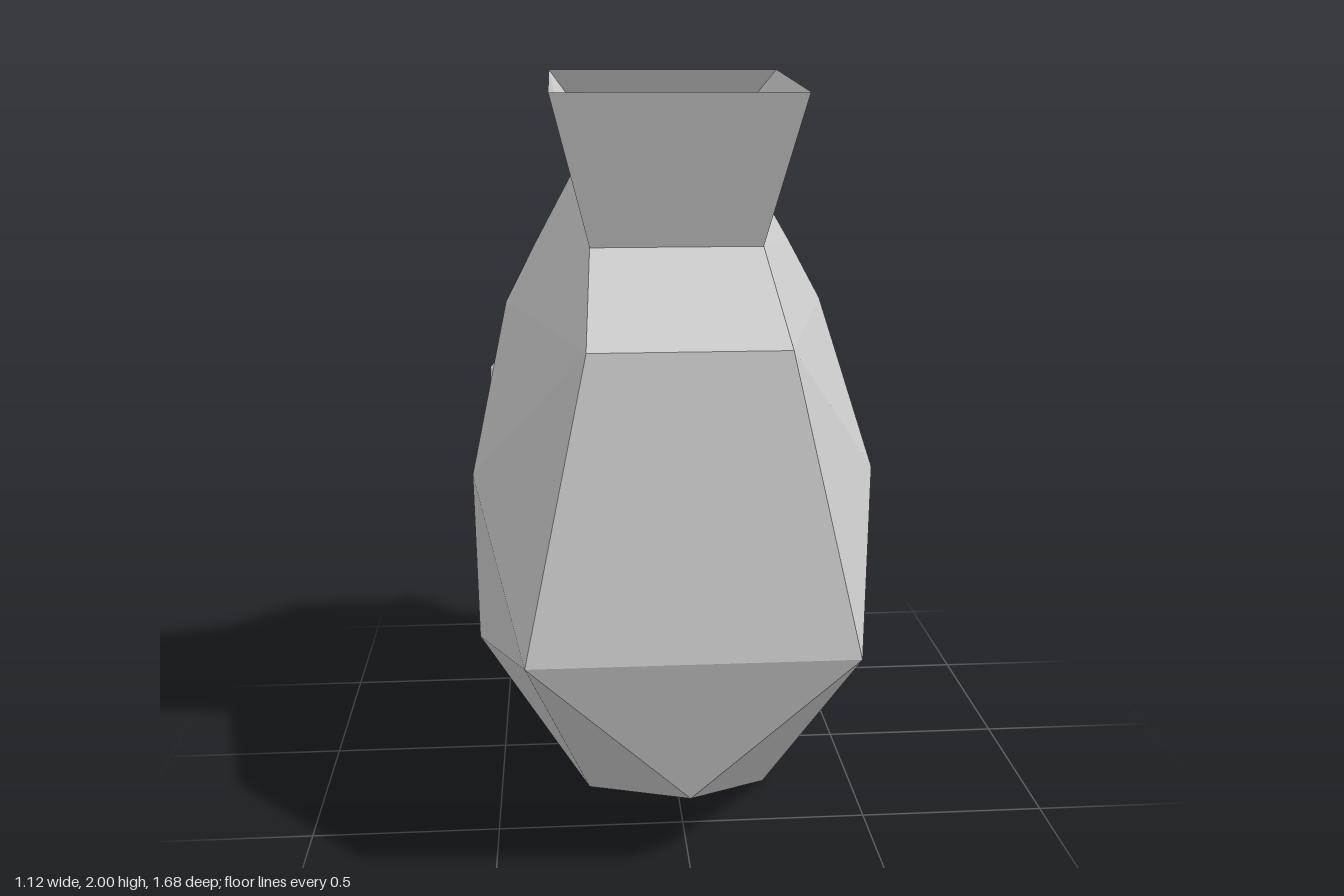
import * as THREE from 'three';
import { ConvexGeometry } from 'three/addons/geometries/ConvexGeometry.js';

const grey = new THREE.MeshStandardMaterial({ color: 0xcccccc, flatShading: true });
const greyOpen = new THREE.MeshStandardMaterial({ color: 0xcccccc, flatShading: true, side: THREE.DoubleSide });

// Faceted solid spanned by the given corners; mirrored across x = 0 unless told otherwise
function facetedSolid(name, corners, mirror = true) {
  const points = [];
  for (const [x, y, z] of corners) {
    points.push(new THREE.Vector3(x, y, z));
    if (mirror && x !== 0) points.push(new THREE.Vector3(-x, y, z));
  }
  const mesh = new THREE.Mesh(new ConvexGeometry(points), grey);
  mesh.name = name;
  return mesh;
}

// Open four-sided funnel between a bottom and a top loop of corners
function funnel(bottom, top) {
  const positions = [];
  for (let i = 0; i < 4; i++) {
    const j = (i + 1) % 4;
    positions.push(...bottom[i], ...bottom[j], ...top[i]);
    positions.push(...top[i], ...bottom[j], ...top[j]);
  }
  const geometry = new THREE.BufferGeometry();
  geometry.setAttribute('position', new THREE.Float32BufferAttribute(positions, 3));
  geometry.computeVertexNormals();
  const mesh = new THREE.Mesh(geometry, greyOpen);
  mesh.name = 'neckFunnel';
  return mesh;
}

export function createModel() {
  const model = new THREE.Group();
  model.name = 'head';

  // Skull, with the face looking towards -z
  model.add(facetedSolid('skull', [
    [0.23, 1.55, 0.28], [0.2, 1.82, -0.36], [0.05, 1.72, -0.6],
    [0.25, 1.35, 0.69], [0.41, 0.61, 0.84], [0, 0.2, 0.74], [0.25, 0, 0.28],
    [0.56, 0.39, 0.08], [0.56, 0.91, 0.18], [0.56, 0.91, 0.02], [0.56, 0.72, -0.19],
    [0.47, 1.33, -0.22], [0.38, 1.5, -0.26], [0.3, 1.47, -0.53], [0.15, 1.53, -0.65],
    [0.38, 1.2, -0.58], [0.47, 0.98, -0.43], [0.36, 0.33, -0.32], [0.15, 0.2, -0.28],
    [0.2, 0.44, -0.53], [0.36, 0.62, -0.54],
  ]));

  // Funnel rising from the crown
  model.add(funnel(
    [[-0.23, 1.55, 0.28], [0.23, 1.55, 0.28], [0.2, 1.82, -0.36], [-0.2, 1.82, -0.36]],
    [[-0.33, 1.95, 0.38], [0.33, 1.95, 0.38], [0.33, 2, -0.23], [-0.33, 2, -0.23]],
  ));

  // Brow ledge and the face below it
  model.add(facetedSolid('brow', [
    [0, 1.56, -0.68], [0.15, 1.54, -0.66], [0.3, 1.48, -0.55],
    [0, 1.51, -0.68], [0.15, 1.5, -0.66], [0.28, 1.45, -0.52], [0, 1.5, -0.5],
  ]));
  model.add(facetedSolid('facePlane', [
    [0.13, 1.49, -0.68], [0.29, 1.46, -0.55], [0.16, 1.2, -0.69],
    [0.38, 1.2, -0.58], [0.16, 1.0, -0.7], [0.38, 1.0, -0.55], [0.2, 1.2, -0.4],
  ]));

  // Muzzle and chin
  model.add(facetedSolid('muzzle', [
    [0.47, 0.98, -0.43], [0.38, 0.93, -0.7], [0.14, 0.99, -0.74], [0.3, 0.87, -0.74],
    [0.14, 0.86, -0.76], [0.26, 0.68, -0.69], [0.4, 0.66, -0.54], [0.2, 0.58, -0.63],
    [0.2, 0.44, -0.53], [0.45, 0.72, -0.4],
  ]));

  // Nose: broad ledge on a narrow column
  model.add(facetedSolid('noseLedge', [
    [0.1, 1.34, -0.68], [0.14, 1.28, -0.7], [0.14, 1.24, -0.76],
    [0, 1.22, -0.84], [0, 1.19, -0.84], [0.1, 1.2, -0.72],
  ]));
  model.add(facetedSolid('noseColumn', [
    [0.09, 1.23, -0.75], [0.1, 1.23, -0.66], [0.07, 0.96, -0.73], [0.08, 0.96, -0.66],
  ]));

  for (const side of [-1, 1]) {
    const place = (corners) => corners.map(([x, y, z]) => [side * x, y, z]);
    const label = side > 0 ? 'left' : 'right';

    // Small wedge beside the nose column
    model.add(facetedSolid(label + 'NostrilWedge', place([
      [0.1, 1.06, -0.73], [0.2, 1.03, -0.71], [0.12, 0.98, -0.75], [0.14, 1.02, -0.64],
    ]), false));

    // Ear
    model.add(facetedSolid(label + 'Ear', place([
      [0.47, 1.13, -0.03], [0.52, 1.14, -0.18], [0.47, 1.19, -0.23], [0.52, 1.09, -0.23],
      [0.52, 1.04, -0.07], [0.44, 1.13, -0.05], [0.44, 1.17, -0.21], [0.44, 1.04, -0.1],
    ]), false));
  }
  return model;
}
